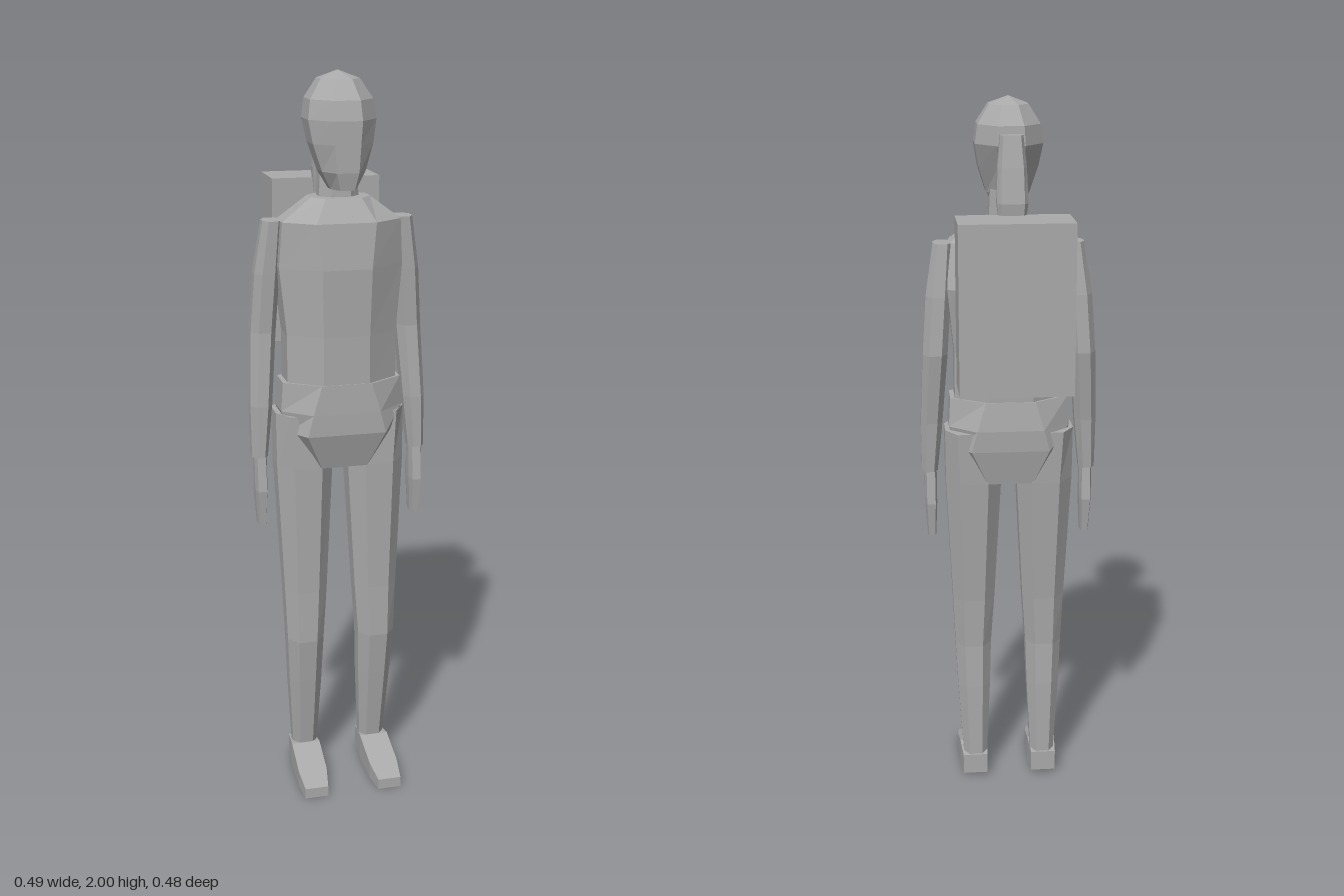
import * as THREE from 'three';

const grey = new THREE.MeshStandardMaterial({ color: 0xaaaaaa, flatShading: true });
grey.name = 'plain grey';

// Skin a closed solid over a stack of equal-length point rings
function loft(name, rings) {
  const pos = [];
  const tri = (a, b, c) => pos.push(...a, ...b, ...c);
  const n = rings[0].length;
  for (let r = 0; r < rings.length - 1; r++) {
    for (let i = 0; i < n; i++) {
      const j = (i + 1) % n;
      const [a, b, c, d] = [rings[r][i], rings[r][j], rings[r + 1][j], rings[r + 1][i]];
      tri(a, b, c);
      tri(a, c, d);
    }
  }
  const first = rings[0], last = rings[rings.length - 1];
  for (let i = 1; i < n - 1; i++) {
    tri(first[0], first[i + 1], first[i]);
    tri(last[0], last[i], last[i + 1]);
  }
  const geo = new THREE.BufferGeometry();
  geo.setAttribute('position', new THREE.Float32BufferAttribute(pos, 3));
  geo.computeVertexNormals();
  const mesh = new THREE.Mesh(geo, grey);
  mesh.name = name;
  return mesh;
}

// Horizontal eight-sided section: front/back flats of half width f * hx, chamfer k of the depth
function octagon(y, cx, hx, front, back, f = 0.42, k = 0.3) {
  const fx = hx * f, dz = (front - back) * k;
  return [
    [cx - fx, y, front], [cx + fx, y, front],
    [cx + hx, y, front - dz], [cx + hx, y, back + dz],
    [cx + fx, y, back], [cx - fx, y, back],
    [cx - hx, y, back + dz], [cx - hx, y, front - dz],
  ];
}

// Rows are [y, centre x, half width, front z, back z, flat ratio, chamfer], bottom to top
const body = (name, rows, side = 1) =>
  loft(name, rows.map(([y, cx, ...rest]) => octagon(y, cx * side, ...rest)));

export function createModel() {
  const model = new THREE.Group();
  model.name = 'figure';

  // Trunk
  model.add(body('torso', [
    [1.18, 0, 0.15, 0.15, -0.045, 0.42],
    [1.32, 0, 0.15, 0.15, -0.05, 0.42],
    [1.50, 0, 0.168, 0.155, -0.088, 0.4],
    [1.62, 0, 0.16, 0.145, -0.04, 0.5],
    [1.68, 0, 0.08, 0.11, -0.012, 0.6],
  ]));
  model.add(body('pelvis', [
    [0.95, 0, 0.075, 0.125, -0.035, 0.85, 0.15],
    [1.05, 0, 0.15, 0.155, -0.055, 0.72],
    [1.11, 0, 0.168, 0.155, -0.058, 0.55],
    [1.19, 0, 0.163, 0.152, -0.048, 0.42],
  ]));

  // Neck, head and hair
  model.add(body('neck', [
    [1.64, 0, 0.055, 0.085, -0.01, 0.5],
    [1.76, 0, 0.05, 0.08, -0.01, 0.5],
  ]));
  model.add(body('head', [
    [1.705, 0, 0.035, 0.15, 0.01, 0.55],
    [1.75, 0, 0.058, 0.158, -0.002, 0.5],
    [1.82, 0, 0.08, 0.158, -0.025, 0.42],
    [1.88, 0, 0.09, 0.158, -0.056, 0.42],
    [1.93, 0, 0.083, 0.146, -0.052, 0.42],
    [1.98, 0, 0.052, 0.108, -0.02, 0.42],
    [2.0, 0, 0.001, 0.041, 0.039],
  ]));
  model.add(body('ponytail', [
    [1.63, 0, 0.03, -0.083, -0.1, 0.75],
    [1.74, 0, 0.041, -0.062, -0.114, 0.75],
    [1.83, 0, 0.038, -0.04, -0.102, 0.75],
    [1.91, 0, 0.03, -0.03, -0.088, 0.75],
  ]));

  // Backpack
  const pack = new THREE.Mesh(new THREE.BoxGeometry(0.3, 0.45, 0.15), grey);
  pack.name = 'backpack';
  pack.position.set(0, 1.485, -0.165);
  model.add(pack);

  for (const side of [1, -1]) {
    const label = side > 0 ? 'left' : 'right';

    // Arm and hand
    model.add(body(label + 'Arm', [
      [0.975, 0.222, 0.022, 0.076, 0.012, 0.5],
      [1.12, 0.215, 0.03, 0.075, 0.0, 0.5],
      [1.32, 0.203, 0.034, 0.058, -0.03, 0.5],
      [1.48, 0.192, 0.034, 0.066, -0.022, 0.5],
      [1.62, 0.178, 0.026, 0.07, -0.003, 0.5],
    ], side));
    model.add(body(label + 'Hand', [
      [0.78, 0.219, 0.012, 0.072, 0.022, 0.7],
      [0.88, 0.22, 0.017, 0.083, 0.008, 0.7],
      [0.98, 0.22, 0.017, 0.07, 0.018, 0.7],
    ], side));

    // Leg
    model.add(body(label + 'Leg', [
      [0.06, 0.1, 0.034, 0.07, 0.002, 0.55],
      [0.3, 0.102, 0.047, 0.104, 0.004, 0.5],
      [0.43, 0.103, 0.052, 0.12, 0.008, 0.5],
      [0.58, 0.101, 0.06, 0.118, 0, 0.5],
      [0.95, 0.1, 0.078, 0.122, -0.036, 0.5],
      [1.1, 0.115, 0.064, 0.12, -0.045, 0.5],
    ], side));

    // Foot: [z, centre x, half width, top y, bottom y], toe to heel
    model.add(loft(label + 'Foot', [
      [0.238, 0.107, 0.033, 0.03, 0],
      [0.175, 0.105, 0.041, 0.052, 0.004],
      [0.075, 0.103, 0.041, 0.085, 0.009],
      [-0.002, 0.102, 0.036, 0.075, 0.014],
    ].map(([z, cx, hw, top, low]) => [
      [cx * side - hw, top, z], [cx * side + hw, top, z],
      [cx * side + hw, low, z], [cx * side - hw, low, z],
    ])));
  }
  return model;
}
